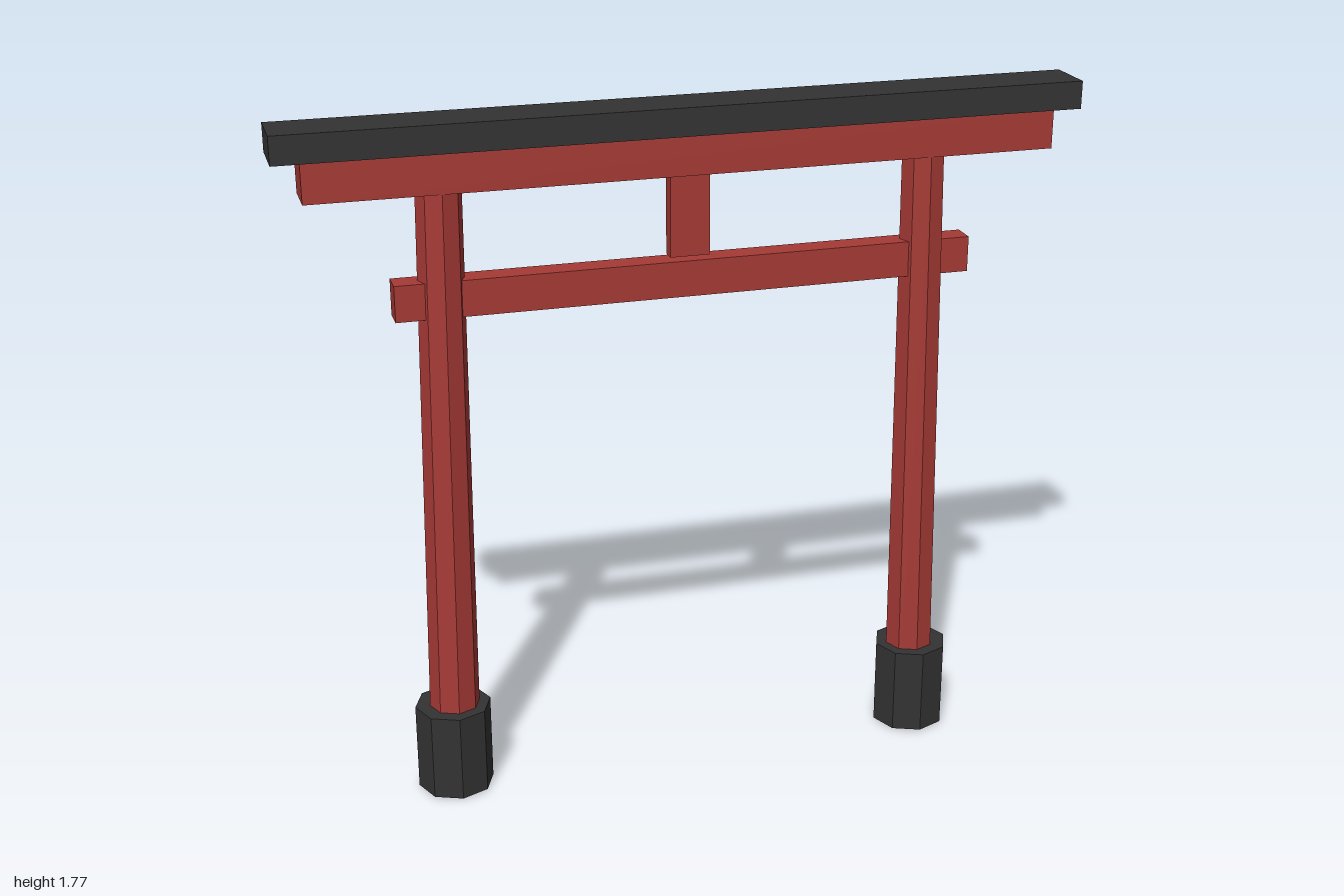
import * as THREE from 'three';

export function createModel() {
  const red = new THREE.MeshStandardMaterial({ color: 0xa63a35, flatShading: true });
  red.name = 'vermilion';
  const black = new THREE.MeshStandardMaterial({ color: 0x333333, flatShading: true });
  black.name = 'charcoal';

  const gate = new THREE.Group();
  gate.name = 'gate';

  const add = (name, geometry, material, x, y) => {
    const mesh = new THREE.Mesh(geometry, material);
    mesh.name = name;
    mesh.position.set(x, y, 0);
    gate.add(mesh);
    return mesh;
  };

  // Horizontal beam or block spanning y0..y1
  const beam = (name, width, y0, y1, depth, material) =>
    add(name, new THREE.BoxGeometry(width, y1 - y0, depth), material, 0, (y0 + y1) / 2);

  beam('roofBeam', 2, 1.7, 1.77, 0.137, black);
  beam('lintel', 1.865, 1.601, 1.7, 0.112, red);
  beam('tieBeam', 1.462, 1.29, 1.381, 0.064, red);
  beam('centreStrut', 0.1, 1.389, 1.596, 0.038, red);

  // Octagonal pillars lean inward and taper; their feet show under the plinths
  const height = 1.603;
  for (const side of [1, -1]) {
    const prefix = side > 0 ? 'left' : 'right';
    const pillar = add(prefix + 'Pillar', new THREE.CylinderGeometry(0.056, 0.066, height, 8),
      red, side * 0.6205, height / 2 + 0.001);
    pillar.rotation.z = side * 0.0131;
    add(prefix + 'Plinth', new THREE.CylinderGeometry(0.098, 0.098, 0.231, 8),
      black, side * 0.633, 0.1185);
  }
  return gate;
}
